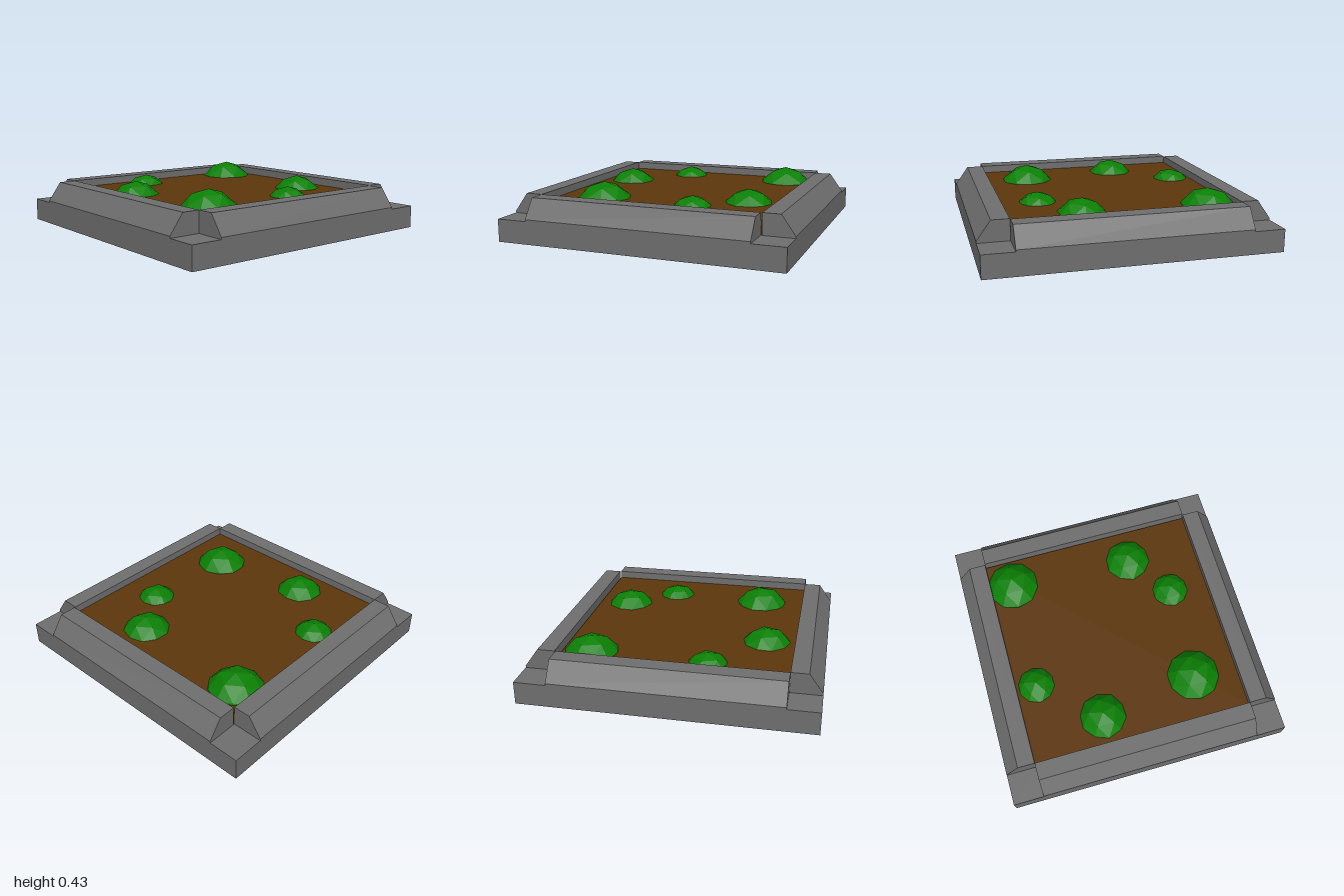
import * as THREE from 'three';

const stone = new THREE.MeshStandardMaterial({ color: 0x6e6e6e, flatShading: true });
const earth = new THREE.MeshStandardMaterial({ color: 0x5c360a, flatShading: true });
const leaf = new THREE.MeshStandardMaterial({ color: 0x0b8005, flatShading: true });

const BASE = 0.066, INNER = 0.785, GAP = 0.008;

function part(name, geometry, material, x = 0, y = 0, z = 0) {
  const mesh = new THREE.Mesh(geometry, material);
  mesh.name = name;
  mesh.position.set(x, y, z);
  return mesh;
}

// Chamfered curb from x = start to x = end with a low corner block, facing +z
function createWall(name, start, end) {
  const wall = new THREE.Group();
  wall.name = name;
  const profile = new THREE.Shape([
    [INNER, BASE], [1, BASE], [1, 0.238], [0.905, 0.37], [INNER, 0.37],
  ].map(([x, y]) => new THREE.Vector2(x, y)));
  const curb = new THREE.ExtrudeGeometry(profile, { depth: end - start, bevelEnabled: false });
  curb.rotateY(-Math.PI / 2);
  wall.add(part('curb', curb, stone, end));

  // The block reaches under the slit between neighbouring curbs
  const size = 1 - INNER + GAP, height = 0.225 - BASE, mid = 1 - size / 2;
  wall.add(part('cornerBlock', new THREE.BoxGeometry(size, height, size), stone,
    -mid, BASE + height / 2, mid));
  return wall;
}

export function createModel() {
  const model = new THREE.Group();
  model.name = 'planterBed';

  // Four walls around the bed; front and back stop just short of the +x wall
  [
    ['frontWall', -INNER, INNER - GAP],
    ['leftWall', -INNER, INNER],
    ['backWall', GAP - INNER, INNER],
    ['rightWall', -INNER, INNER],
  ].forEach(([name, start, end], i) => {
    const wall = createWall(name, start, end);
    wall.rotation.y = i * Math.PI / 2;
    model.add(wall);
  });

  // Floor slab with soil on top, leaving a narrow slit beside the +x wall
  const width = 2 * INNER - GAP, depth = 2 * INNER;
  const floorTop = 0.2, soilTop = 0.316;
  model.add(part('floor', new THREE.BoxGeometry(width, floorTop - BASE, depth), stone,
    -GAP / 2, (floorTop + BASE) / 2, 0));
  model.add(part('soil', new THREE.BoxGeometry(width, soilTop - floorTop, depth), earth,
    -GAP / 2, (soilTop + floorTop) / 2, 0));

  // Faceted bushes, each with a vertex pointing straight up: x, z, radius
  const bushGeometry = new THREE.IcosahedronGeometry(1, 1);
  bushGeometry.rotateX(-Math.atan((1 + Math.sqrt(5)) / 2));
  bushGeometry.rotateY(Math.PI / 2);
  [
    [-0.465, 0.47, 0.215], [0.58, -0.62, 0.215],
    [-0.58, -0.24, 0.195], [0.545, 0.27, 0.195],
    [-0.23, -0.64, 0.17], [0.22, 0.51, 0.17],
  ].forEach(([x, z, r], i) => {
    const bush = part(`bush${i + 1}`, bushGeometry, leaf, x, 0.215, z);
    bush.scale.setScalar(r);
    model.add(bush);
  });

  return model;
}
